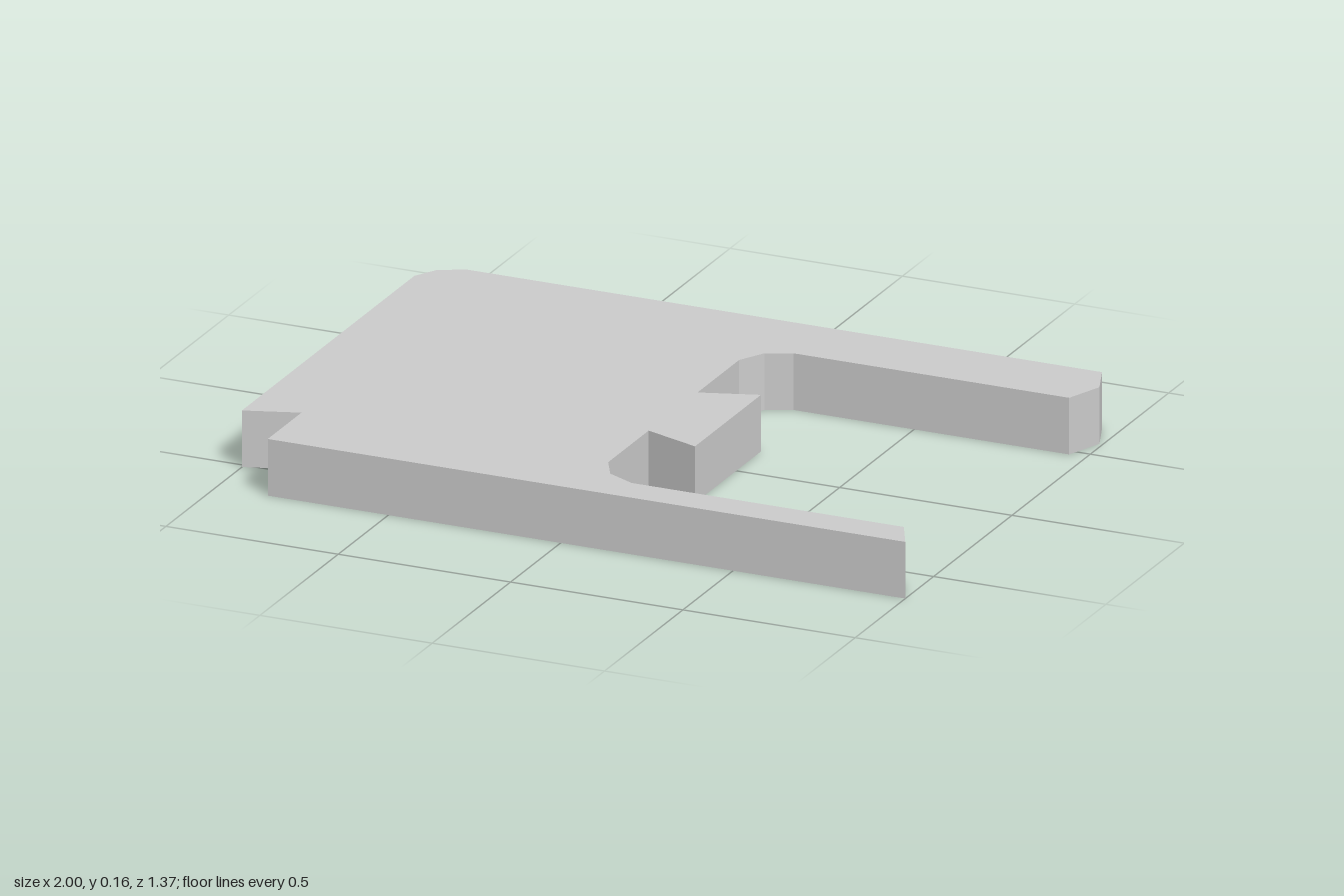
import * as THREE from 'three';

const THICKNESS = 0.16;

// Plan outline as [x, z], grouped by feature
const outline = [
  // notched front right corner
  [-1, 0.515], [-0.85, 0.465], [-0.85, 0.68],
  // slim front arm with a slanted tip
  [1, 0.68], [0.95, 0.58], [0.16, 0.58], [0.08, 0.54], [0.04, 0.465],
  // dovetail tongue
  [0.04, 0.207], [0.2, 0.263], [0.2, -0.158], [0.04, -0.105],
  // wide back arm with a pointed tip
  [0.04, -0.37], [0.08, -0.443], [0.15, -0.475], [0.95, -0.475], [0.99, -0.58], [0.95, -0.685],
  // chamfered back right corner
  [-0.895, -0.685], [-0.965, -0.648], [-1, -0.585],
];

export function createModel() {
  const group = new THREE.Group();
  group.name = 'notchedPlate';

  const shape = new THREE.Shape(outline.map(([x, z]) => new THREE.Vector2(x, -z)));
  const geometry = new THREE.ExtrudeGeometry(shape, { depth: THICKNESS, bevelEnabled: false });
  geometry.rotateX(-Math.PI / 2); // lay the plate flat on the ground

  const plate = new THREE.Mesh(
    geometry,
    new THREE.MeshStandardMaterial({ color: 0xcccccc, flatShading: true })
  );
  plate.name = 'plate';
  group.add(plate);
  return group;
}
